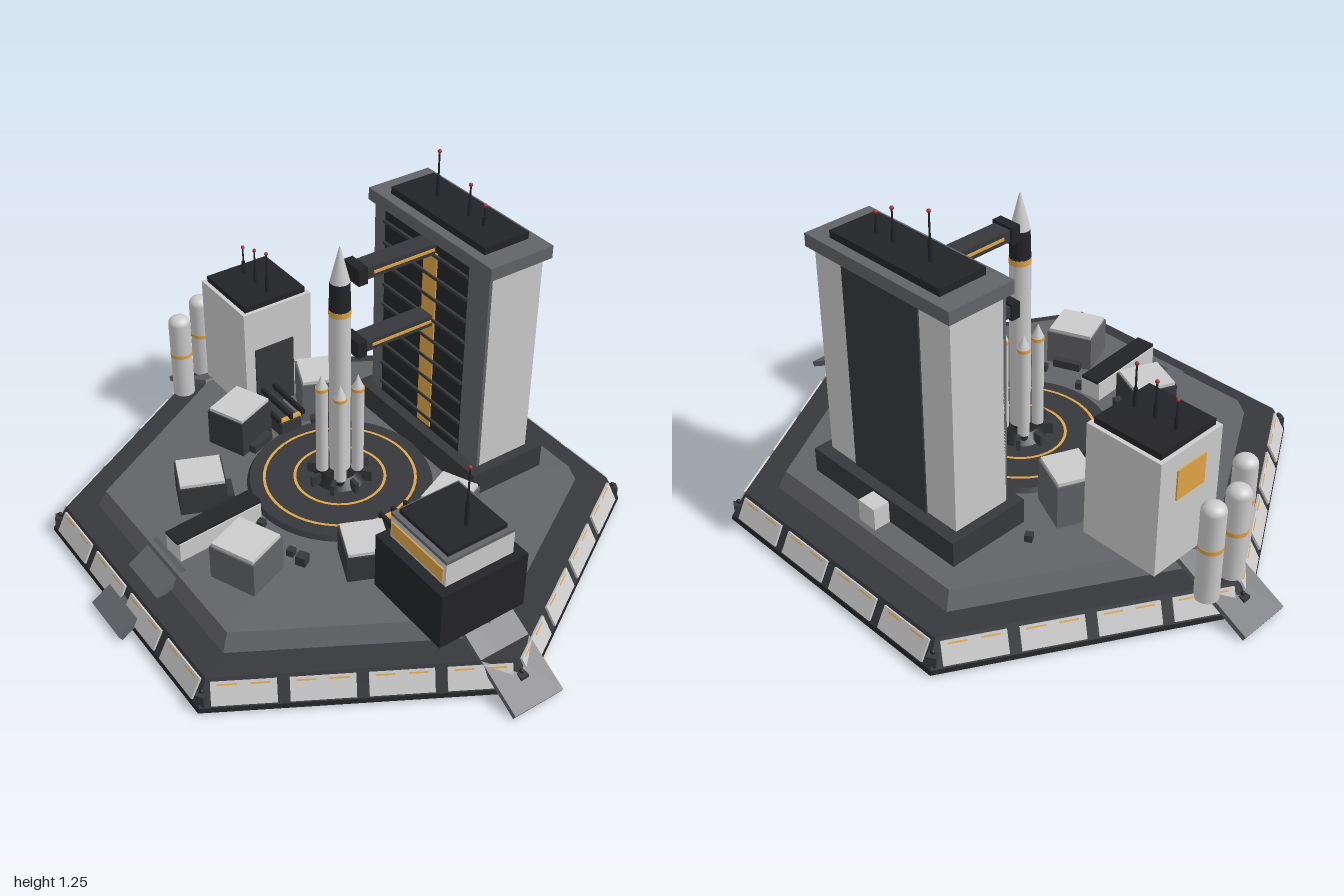
import * as THREE from 'three';

const mat = (color) => new THREE.MeshStandardMaterial({ color, flatShading: false });
const light = mat(0xcccccc), slate = mat(0x636468), dark = mat(0x36383b), black = mat(0x232427);
const orange = mat(0xe0a545), red = mat(0xb02a30);
const DECK = 0.17, A30 = Math.PI / 6;

function add(parent, name, geo, material, x, y, z) {
  const m = new THREE.Mesh(geo, material);
  m.name = name;
  m.position.set(x, y, z);
  parent.add(m);
  return m;
}
// Box standing on height y
const box = (p, name, w, h, d, x, y, z, m) => add(p, name, new THREE.BoxGeometry(w, h, d), m, x, y + h / 2, z);
// Cylinder or cone standing on height y
const cyl = (p, name, rTop, rBot, h, x, y, z, m, seg = 20) =>
  add(p, name, new THREE.CylinderGeometry(rTop, rBot, h, seg), m, x, y + h / 2, z);
// Six-sided slab with flat sides
function hexSlab(p, name, rTop, rBot, y, h, m) {
  const g = new THREE.CylinderGeometry(rTop, rBot, h, 6).toNonIndexed();
  g.computeVertexNormals();
  return add(p, name, g, m, 0, y + h / 2, 0);
}
function group(parent, name, x = 0, y = 0, z = 0, ry = 0) {
  const g = new THREE.Group();
  g.name = name;
  g.position.set(x, y, z);
  g.rotation.y = ry;
  parent.add(g);
  return g;
}
function antenna(p, x, y, z, top) {
  const g = group(p, 'antenna', x, y, z);
  cyl(g, 'antennaFoot', 0.006, 0.008, (top - y) * 0.45, 0, 0, 0, black, 8);
  cyl(g, 'antennaMast', 0.003, 0.004, top - y, 0, 0, 0, black, 6);
  add(g, 'antennaLamp', new THREE.SphereGeometry(0.007, 8, 6), red, 0, top - y, 0);
}

function buildBase(root) {
  const g = group(root, 'base');
  hexSlab(g, 'baseRim', 0.99, 0.995, 0.01, 0.015, black);
  hexSlab(g, 'lowerSlab', 0.94, 0.99, 0.025, 0.085, dark);
  hexSlab(g, 'deck', 0.8, 0.83, 0.11, DECK - 0.11, slate);
  for (let k = 0; k < 6; k++) {
    const side = group(g, 'baseSide', 0, 0, 0, k * Math.PI / 3);
    for (let i = 0; i < 4; i++) {
      const z = (i - 1.5) * 0.238;
      const panel = group(side, 'rimPanel', 0.838, 0.066, z);
      panel.rotation.z = 0.47;
      box(panel, 'panelPlate', 0.012, 0.075, 0.2, 0, -0.0375, 0, light);
      for (const s of [-1, 1]) box(panel, 'panelStripe', 0.014, 0.005, 0.06, 0, 0.026, s * 0.05, orange);
    }
    // corner lamp post
    const post = group(g, 'cornerPost', 0, 0, 0, k * Math.PI / 3 + A30);
    box(post, 'cornerBlock', 0.035, 0.04, 0.03, 0.965, 0.03, 0, dark);
    add(post, 'cornerLamp', new THREE.SphereGeometry(0.008, 8, 6), black, 0.965, 0.078, 0);
  }
}

// Sloping slab running outward along local x
function ramp(root, angle, r0, r1) {
  const g = group(root, 'ramp', 0, 0, 0, angle);
  const run = r1 - r0, rise = DECK - 0.01;
  const slab = box(g, 'rampSlab', Math.hypot(run, rise), 0.02, 0.19, (r0 + r1) / 2, 0.08, 0, slate);
  slab.rotation.z = -Math.atan2(rise, run);
}

function buildPad(root) {
  const g = group(root, 'launchPad');
  cyl(g, 'padDisc', 0.31, 0.32, 0.016, 0, DECK, 0, dark, 48);
  for (const r of [0.155, 0.26]) {
    const ring = add(g, 'padRing', new THREE.RingGeometry(r - 0.005, r + 0.005, 48), orange, 0, DECK + 0.018, 0);
    ring.rotation.x = -Math.PI / 2;
  }
  cyl(g, 'launchMount', 0.06, 0.09, 0.03, 0, DECK + 0.016, 0, black, 24);
  for (let i = 0; i < 8; i++) {
    const a = group(g, 'holdDownArm', 0, 0, 0, i * Math.PI / 4 + 0.2);
    box(a, 'armBlock', 0.035, 0.045, 0.014, 0.095, DECK + 0.012, 0, dark);
  }
}

function buildRocket(root) {
  const g = group(root, 'rocket', 0, 0, 0, 0.46);
  cyl(g, 'engineBell', 0.02, 0.034, 0.05, 0, 0.19, 0, black);
  cyl(g, 'coreStage', 0.036, 0.036, 0.62, 0, 0.23, 0, light);
  cyl(g, 'coreBand', 0.037, 0.037, 0.02, 0, 0.85, 0, orange);
  cyl(g, 'upperStage', 0.033, 0.036, 0.1, 0, 0.87, 0, black);
  cyl(g, 'noseCone', 0.002, 0.033, 0.125, 0, 0.97, 0, light);
  for (let i = 0; i < 4; i++) {
    const b = group(g, 'booster', 0, 0, 0, i * Math.PI / 2);
    cyl(b, 'boosterBell', 0.012, 0.02, 0.04, 0.06, 0.185, 0, black, 12);
    cyl(b, 'boosterBody', 0.021, 0.021, 0.335, 0.06, 0.22, 0, light, 16);
    cyl(b, 'boosterBand', 0.022, 0.022, 0.012, 0.06, 0.55, 0, orange, 16);
    cyl(b, 'boosterNose', 0.001, 0.021, 0.05, 0.06, 0.56, 0, light, 16);
  }
}

function buildTower(site) {
  const g = group(site, 'serviceTower', 0, 0, -0.465);
  box(g, 'towerPlinth', 0.67, 0.09, 0.3, 0, DECK, 0, dark);
  box(g, 'towerBody', 0.6, 0.75, 0.21, 0, 0.26, 0, light);
  box(g, 'towerCap', 0.64, 0.045, 0.25, 0, 1.01, 0, slate);
  box(g, 'towerRoof', 0.486, 0.025, 0.178, 0, 1.055, 0, black);
  box(g, 'backPanel', 0.34, 0.75, 0.012, 0, 0.26, -0.105, dark);
  // front wall with floors and a lit lift shaft
  box(g, 'frontFrame', 0.6, 0.75, 0.012, 0, 0.26, 0.105, slate);
  box(g, 'frontRecess', 0.44, 0.75, 0.008, -0.02, 0.26, 0.109, black);
  box(g, 'liftShaft', 0.07, 0.7, 0.01, 0.01, 0.27, 0.112, orange);
  for (let i = 0; i < 9; i++) box(g, 'floorLedge', 0.44, 0.01, 0.02, -0.02, 0.3 + i * 0.082, 0.112, dark);
  // swing arms reaching to the rocket
  for (const y of [0.71, 0.985]) {
    const arm = group(g, 'swingArm', 0, y, 0);
    box(arm, 'armBeam', 0.07, 0.04, 0.3, 0, -0.02, 0.255, dark);
    for (const s of [-1, 1]) box(arm, 'armStripe', 0.004, 0.01, 0.24, s * 0.036, -0.005, 0.24, orange);
    box(arm, 'armClamp', 0.085, 0.06, 0.035, 0, -0.03, 0.405, black);
  }
  box(g, 'rearCabinet', 0.075, 0.08, 0.06, 0, DECK, -0.18, light);
  antenna(g, -0.108, 1.08, 0.0, 1.24);
  antenna(g, 0.055, 1.08, 0.0, 1.19);
  antenna(g, 0.13, 1.08, 0.0, 1.15);
}

function buildAssemblyHall(site) {
  const g = group(site, 'assemblyHall', -0.645, 0, -0.078);
  box(g, 'hallBody', 0.29, 0.42, 0.28, 0, DECK, 0, light);
  box(g, 'hallRoof', 0.26, 0.022, 0.25, 0, 0.59, 0, black);
  box(g, 'hallWindow', 0.008, 0.11, 0.13, -0.146, 0.42, 0, orange);
  box(g, 'hallDoor', 0.01, 0.26, 0.16, 0.145, DECK, 0.02, dark);
  for (let i = -1; i <= 1; i++) antenna(g, i * 0.08, 0.61, 0, 0.74 + i * 0.025);
}

function buildControlCentre(site) {
  const g = group(site, 'controlCentre', 0.652, 0, 0.04);
  box(g, 'centreBase', 0.33, 0.21, 0.33, 0, DECK, 0, black);
  box(g, 'centreUpper', 0.27, 0.085, 0.26, 0, 0.38, 0, light);
  box(g, 'centreWindow', 0.25, 0.05, 0.008, 0, 0.395, 0.131, orange);
  box(g, 'centreWindowSide', 0.008, 0.05, 0.22, -0.136, 0.395, 0, orange);
  box(g, 'centreEave', 0.27, 0.012, 0.26, 0, 0.465, 0, slate);
  box(g, 'centreRoof', 0.235, 0.015, 0.225, 0, 0.477, 0, black);
  antenna(g, 0.05, 0.49, -0.01, 0.71);
}

function buildGangway(site, side) {
  const g = group(site, 'gangway', side * 0.4, 0, 0);
  box(g, 'gangwayFloor', 0.2, 0.06, 0.08, 0, DECK, 0, dark);
  for (const z of [-0.05, 0, 0.05]) box(g, 'gangwayRail', 0.2, 0.02, 0.012, 0, DECK + 0.07, z, black);
  box(g, 'gangwayLight', 0.014, 0.01, 0.09, -side * 0.085, DECK + 0.062, 0, orange);
}

function buildHut(root, x, z, w, d, top, wall) {
  const g = group(root, 'hut', x, 0, z, Math.atan2(x, z));
  box(g, 'hutWalls', w, top - DECK - 0.012, d, 0, DECK, 0, wall);
  box(g, 'hutRoof', w * 0.93, 0.012, d * 0.93, 0, top - 0.012, 0, light);
  box(g, 'hutStep', w * 0.6, 0.03, 0.03, 0, DECK, -d / 2 - 0.012, dark);
}

export function createModel() {
  const root = new THREE.Group();
  root.name = 'launchSite';
  buildBase(root);
  ramp(root, -A30, 0.75, 1.05);
  ramp(root, Math.PI - A30, 0.75, 1.05);
  ramp(root, -4 * A30, 0.66, 0.91);
  buildPad(root);
  buildRocket(root);

  // large buildings share one turned axis
  const site = group(root, 'buildings', 0, 0, 0, -A30);
  buildTower(site);
  buildAssemblyHall(site);
  buildControlCentre(site);
  for (const s of [-1, 1]) buildGangway(site, s);

  // small huts around the pad
  buildHut(root, -0.25, -0.34, 0.14, 0.16, 0.34, slate);
  buildHut(root, -0.42, -0.06, 0.17, 0.15, 0.32, dark);
  buildHut(root, -0.38, 0.29, 0.15, 0.16, 0.29, dark);
  buildHut(root, -0.07, 0.54, 0.17, 0.16, 0.31, slate);
  buildHut(root, 0.25, 0.34, 0.15, 0.16, 0.28, dark);
  buildHut(root, 0.42, 0.05, 0.16, 0.14, 0.31, slate);

  // low supply bunker
  const bunker = group(root, 'bunker', -0.25, 0, 0.43, -0.45);
  box(bunker, 'bunkerWalls', 0.08, 0.07, 0.32, 0, DECK, 0, light);
  box(bunker, 'bunkerRoof', 0.07, 0.01, 0.33, 0, DECK + 0.07, 0, black);

  // fuel tanks beside the hall
  for (const [x, z] of [[-0.73, -0.535], [-0.79, -0.435], [-0.79, -0.285]]) {
    const t = group(root, 'fuelTank', x, 0, z);
    cyl(t, 'tankBody', 0.04, 0.04, 0.33, 0, 0.09, 0, light);
    const dome = add(t, 'tankDome', new THREE.SphereGeometry(0.04, 20, 8, 0, Math.PI * 2, 0, Math.PI / 2), light, 0, 0.42, 0);
    dome.scale.y = 0.75;
    cyl(t, 'tankBand', 0.041, 0.041, 0.015, 0, 0.28, 0, orange);
  }

  // loose crates on the deck
  for (const [x, z, s] of [[0.02, 0.41, 0.025], [0.07, 0.43, 0.035], [-0.17, -0.52, 0.025], [-0.13, 0.33, 0.025]])
    box(root, 'crate', s, s, s, x, DECK, z, dark);
  return root;
}
